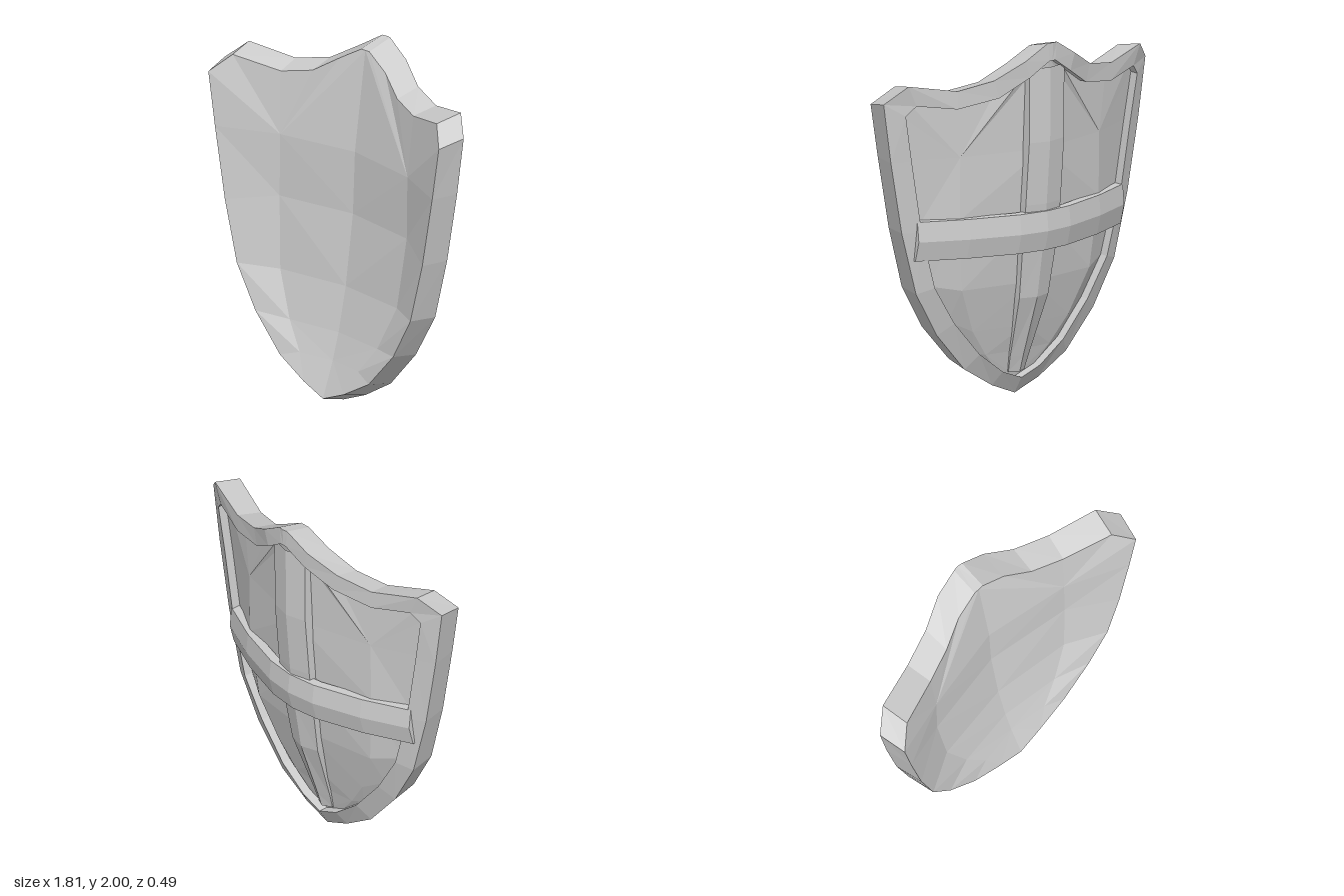
import * as THREE from 'three';

const material = new THREE.MeshStandardMaterial({ color: 0xcccccc, flatShading: true });

// Skin between successive rows of points on the +x half, then mirror it to -x.
function mirroredLoft(name, layers) {
  const pos = [];
  const same = (a, b) => a.every((v, i) => Math.abs(v - b[i]) < 1e-6);
  const tri = (a, b, c) => {
    if (same(a, b) || same(b, c) || same(a, c)) return;
    pos.push(...a, ...b, ...c);
    for (const p of [a, c, b]) pos.push(-p[0], p[1], p[2]);
  };
  for (let k = 0; k < layers.length - 1; k++) {
    const inner = layers[k], outer = layers[k + 1];
    for (let i = 0; i < inner.length - 1; i++) {
      tri(outer[i + 1], outer[i], inner[i + 1]);
      tri(outer[i], inner[i], inner[i + 1]);
    }
  }
  const geometry = new THREE.BufferGeometry();
  geometry.setAttribute('position', new THREE.Float32BufferAttribute(pos, 3));
  geometry.computeVertexNormals();
  const mesh = new THREE.Mesh(geometry, material);
  mesh.name = name;
  return mesh;
}

// Half outlines, from the top peak round the +x side to the bottom tip
const frontEdge = [
  [0, 1.96, -0.08], [0.03, 1.96, -0.08], [0.17, 1.88, -0.06], [0.32, 1.785, 0], [0.5, 1.75, 0.06],
  [0.77, 1.8, 0.155], [0.87, 1.7, 0.24], [0.82, 1.4, 0.24], [0.745, 1.0, 0.24],
  [0.655, 0.66, 0.24], [0.52, 0.42, 0.235], [0.335, 0.215, 0.235], [0.15, 0.11, 0.24], [0, 0.05, 0.245],
];
const backEdge = [
  [0, 2, -0.245], [0.03, 2, -0.24], [0.17, 1.915, -0.22], [0.33, 1.82, -0.15], [0.53, 1.78, -0.085],
  [0.8, 1.83, 0], [0.905, 1.73, 0.085], [0.855, 1.4, 0.085], [0.78, 1.0, 0.085],
  [0.685, 0.65, 0.08], [0.54, 0.4, 0.08], [0.35, 0.185, 0.08], [0.16, 0.07, 0.08], [0, 0.005, 0.085],
];
const rimInner = [
  [0, 1.9, -0.24], [0.02, 1.9, -0.24], [0.14, 1.82, -0.22], [0.3, 1.72, -0.155], [0.53, 1.68, -0.085],
  [0.75, 1.715, -0.005], [0.8, 1.66, 0.025], [0.755, 1.4, 0.03], [0.685, 1.0, 0.03],
  [0.595, 0.68, 0.03], [0.46, 0.465, 0.03], [0.29, 0.27, 0.025], [0.13, 0.15, 0.025], [0, 0.1, 0.025],
];
const panelEdge = rimInner.map(([x, y, z]) => [x, y, z + 0.055]);

// Panel levels: y, shoulder x, front shoulder z, front spine z, back shoulder z, back spine z
const levels = [
  [1.4, 0.48, 0.085, 0, -0.045, -0.165],
  [1.05, 0.48, 0.09, 0.015, -0.04, -0.135],
  [0.65, 0.44, 0.125, 0.07, -0.01, -0.075],
  [0.4, 0.33, 0.165, 0.125, 0.035, -0.01],
  [0.25, 0.22, 0.2, 0.17, 0.06, 0.04],
];
const levelOf = [0, 0, 0, 0, 0, 0, 0, 0, 1, 2, 3, 4, 4, 4];
const spine = (zi) => levelOf.map((l) => [0, levels[l][0], levels[l][zi]]);
const shoulder = (zi) => levelOf.map((l, i) => {
  const [y, x] = levels[l];
  const onSpine = i === 0 || i === levelOf.length - 1;
  return onSpine ? [0, y, levels[l][zi + 1]] : [x, y, levels[l][zi]];
});

// Raised upright band: y, half width, ridge z
const band = [
  [1.86, 0.12, -0.222], [1.45, 0.12, -0.22], [1.1, 0.12, -0.19], [0.84, 0.115, -0.155],
  [0.57, 0.1, -0.11], [0.22, 0.065, 0.012], [0.13, 0.055, 0.04],
];
const bandBase = band.map(([y, w, z]) => [w, y, z + 0.09]);
const bandCorner = band.map(([y, w, z]) => [w, y, z + 0.03]);
const bandRidge = band.map(([y, , z]) => [0, y, z]);

// Cross strap: stations from the side to the middle, each a closed section
const section = (x, z) => [
  [x, 1.06, z + 0.065], [x, 1.06, z + 0.012], [x, 0.95, z], [x, 0.84, z + 0.03],
  [x, 0.84, z + 0.075], [x, 1.06, z + 0.065],
];
const strap = [[0.71, 0.025], [0.45, -0.095], [0.17, -0.185], [0, -0.205]].map(([x, z]) => section(x, z));
const strapEnd = strap[0].map(() => [0.71, 0.95, 0.06]);

export function createModel() {
  const shield = new THREE.Group();
  shield.name = 'shield';
  shield.add(
    mirroredLoft('frontPanel', [spine(3), shoulder(2), frontEdge]),
    mirroredLoft('rim', [frontEdge, backEdge, rimInner, panelEdge]),
    mirroredLoft('backPanel', [panelEdge, shoulder(4), spine(5)]),
    mirroredLoft('uprightBand', [bandBase, bandCorner, bandRidge]),
    mirroredLoft('crossStrap', [strapEnd, ...strap]),
  );
  return shield;
}
